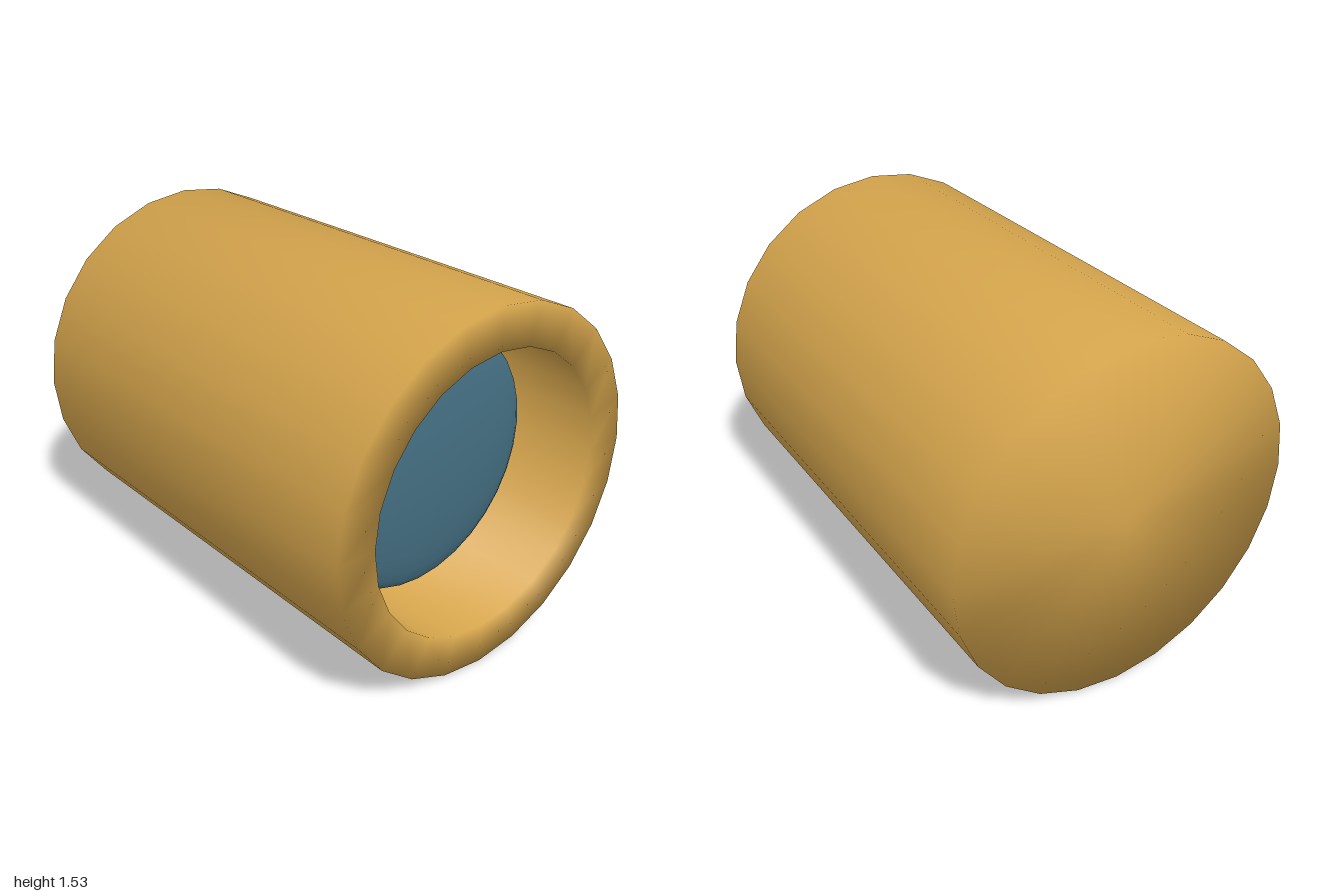
import * as THREE from 'three';
import { mergeVertices } from 'three/addons/utils/BufferGeometryUtils.js';

const casing = new THREE.MeshStandardMaterial({ color: 0xd4a44c });
casing.name = 'brass';
const glass = new THREE.MeshStandardMaterial({ color: 0x446f82 });
glass.name = 'blueGlass';

const RADIUS = 0.765;

// Revolve a profile of [radius, z] around z, with normals shared across every edge
function revolve(profile, sides) {
  const lathe = new THREE.LatheGeometry(profile.map(([r, z]) => new THREE.Vector2(r, z)), sides);
  lathe.deleteAttribute('normal');
  lathe.deleteAttribute('uv');
  const geometry = mergeVertices(lathe, 1e-4);
  geometry.rotateX(Math.PI / 2);
  geometry.computeVertexNormals();
  return geometry;
}

export function createModel() {
  const model = new THREE.Group();
  model.name = 'eyepiece';

  // Barrel: closed back, long wall, flat front rim and recessed bore
  const barrel = new THREE.Mesh(revolve([
    [0, -1], [RADIUS, -1], [RADIUS, 1], [0.59, 1], [0.59, 0.6], [0, 0.6],
  ], 24), casing);
  barrel.name = 'barrel';
  barrel.position.y = RADIUS;
  model.add(barrel);

  // Lens: shallow dome sitting in the bore
  const lensShape = new THREE.SphereGeometry(0.565, 32, 16);
  lensShape.rotateX(Math.PI / 2);
  lensShape.scale(1, 1, 0.18);
  const lens = new THREE.Mesh(lensShape, glass);
  lens.name = 'lens';
  lens.position.set(0, RADIUS, 0.62);
  model.add(lens);

  return model;
}
